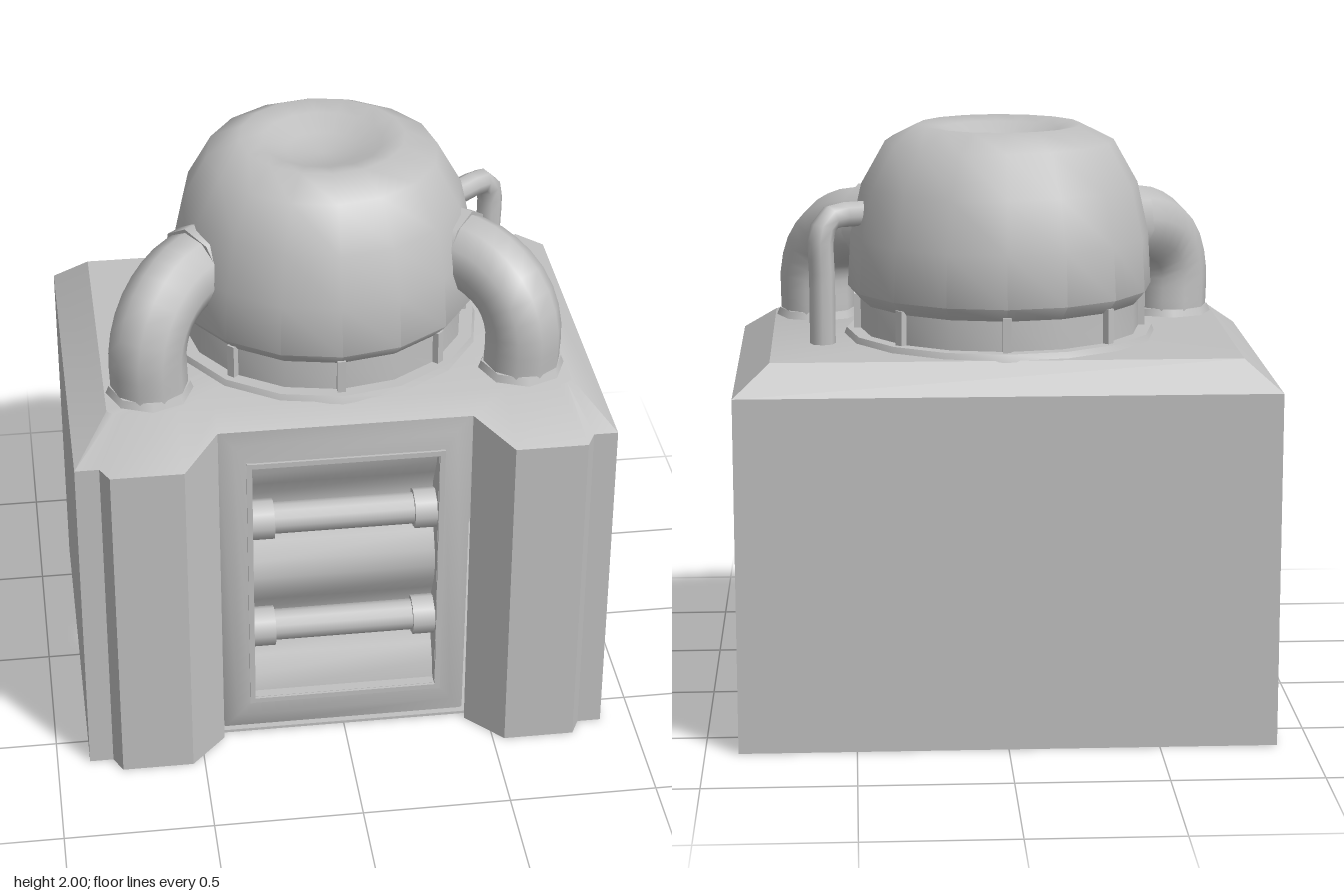
import * as THREE from 'three';
import { toCreasedNormals } from 'three/addons/utils/BufferGeometryUtils.js';

const metal = new THREE.MeshStandardMaterial({ color: 0xc0c0c0, side: THREE.DoubleSide });
metal.name = 'grey metal';

// Skin between rings of [x, y, z] points; skip(k, j) leaves a quad open
function loft(rings, crease, skip = () => false) {
  const n = rings[0].length, index = [];
  for (let k = 0; k < rings.length - 1; k++) {
    for (let j = 0; j < n; j++) {
      if (skip(k, j)) continue;
      const a = k * n + j, b = k * n + (j + 1) % n;
      index.push(a, b, b + n, a, b + n, a + n);
    }
  }
  const g = new THREE.BufferGeometry();
  g.setAttribute('position', new THREE.Float32BufferAttribute(rings.flat(2), 3));
  g.setIndex(index);
  return toCreasedNormals(g, crease);
}

function lathe(profile, sides, crease = 0.8) {
  const pts = profile.map(([r, y]) => new THREE.Vector2(r, y));
  return toCreasedNormals(new THREE.LatheGeometry(pts, sides), crease);
}

export function createModel() {
  const model = new THREE.Group();
  const add = (name, geo, x = 0, y = 0, z = 0, parent = model) => {
    const m = new THREE.Mesh(geo, metal);
    m.name = name;
    m.position.set(x, y, z);
    parent.add(m);
    return m;
  };

  // Housing: footprint with two front wings, sloped shoulders and a flat top
  // Each entry: x, z, wall height, then x, z on the flat top
  const half = [
    [0.42, 0.54, 1.25, 0.42, 0.45],
    [0.54, 0.67, 1.19, 0.54, 0.45],
    [0.78, 0.67, 1.19, 0.72, 0.45],
    [0.81, 0.61, 1.19, 0.75, 0.44],
    [0.89, 0.61, 1.19, 0.77, 0.42],
    [0.89, -0.67, 1.19, 0.77, -0.58],
  ];
  const outline = [...half, ...half.slice().reverse().map(([x, z, y, tx, tz]) => [-x, z, y, -tx, tz])];
  const last = outline.length - 1;
  add('housing', loft([
    outline.map(([x, z]) => [x, 0, z]),
    outline.map(([x, z, y]) => [x, y, z]),
    outline.map((p) => [p[3], 1.29, p[4]]),
    outline.map(() => [0, 1.29, -0.06]),
  ], 0.6, (k, j) => k === 0 && j === last));
  add('floorPlate', new THREE.BoxGeometry(1.68, 0.01, 1.15), 0, 0.01, -0.055);

  // Front panel: soft frame around a recessed window
  const rect = (w, y0, y1, zLow, zHigh = zLow) => [[-w, y0, zLow], [w, y0, zLow], [w, y1, zHigh], [-w, y1, zHigh]];
  add('panelFrame', loft([
    rect(0.42, 0, 1.25, 0.49, 0.53),
    rect(0.37, 0.09, 1.19, 0.535),
    rect(0.33, 0.15, 1.13, 0.545),
    rect(0.31, 0.17, 1.11, 0.545),
    rect(0.31, 0.17, 1.11, 0.41),
  ], 0.9));
  for (const s of [-1, 1]) {
    add('windowTrimSide', new THREE.BoxGeometry(0.018, 0.98, 0.02), s * 0.32, 0.64, 0.544);
    add('windowTrimEnd', new THREE.BoxGeometry(0.65, 0.018, 0.02), 0, 0.64 + s * 0.48, 0.544);
  }

  // Wavy back of the window
  const wave = new THREE.PlaneGeometry(0.62, 0.94, 1, 16);
  const wp = wave.attributes.position;
  for (let i = 0; i < wp.count; i++) {
    wp.setZ(i, 0.045 * Math.cos((wp.getY(i) / 0.94) * 4 * Math.PI));
  }
  wave.computeVertexNormals();
  add('windowBack', wave, 0, 0.64, 0.465);

  // Rollers with thicker ends
  for (const y of [0.42, 0.86]) {
    const roller = new THREE.Group();
    roller.name = 'roller';
    roller.position.set(0, y, 0.475);
    roller.rotation.z = Math.PI / 2;
    model.add(roller);
    add('rollerBar', new THREE.CylinderGeometry(0.053, 0.053, 0.5, 12), 0, 0, 0, roller);
    for (const s of [-1, 1]) {
      add('rollerEnd', new THREE.CylinderGeometry(0.07, 0.07, 0.075, 8), 0, s * 0.273, 0, roller);
    }
  }

  // Dome on a ribbed neck
  const dz = -0.06;
  add('dome', lathe([
    [0.475, 1.41], [0.515, 1.455], [0.505, 1.63], [0.467, 1.8], [0.385, 1.945],
    [0.275, 2], [0.2, 1.985], [0.12, 1.95], [0, 1.935],
  ], 16), 0, 0, dz);
  add('neck', lathe([[0.475, 1.29], [0.475, 1.42]], 16), 0, 0, dz);
  add('neckFlange', lathe([[0.53, 1.285], [0.52, 1.31], [0.47, 1.31]], 16), 0, 0, dz);
  for (let i = 0; i < 8; i++) {
    const a = (i * Math.PI) / 4;
    const rib = add('neckRib', new THREE.BoxGeometry(0.028, 0.12, 0.03),
      0.48 * Math.sin(a), 1.365, dz + 0.48 * Math.cos(a));
    rib.rotation.y = a;
  }

  // Large elbow pipes from the wings into the dome
  const tube = (pts, r, sides) => new THREE.TubeGeometry(
    new THREE.CatmullRomCurve3(pts.map((p) => new THREE.Vector3(...p))), 12, r, sides);
  for (const s of [-1, 1]) {
    add('elbowPipe', tube([
      [s * 0.62, 1.29, 0.305], [s * 0.62, 1.46, 0.305], [s * 0.585, 1.56, 0.265],
      [s * 0.505, 1.625, 0.175], [s * 0.39, 1.645, 0.075],
    ], 0.128, 10));
    add('pipeFlange', new THREE.CylinderGeometry(0.135, 0.147, 0.03, 8), s * 0.62, 1.3, 0.305);
    const collar = add('pipeCollar', new THREE.CylinderGeometry(0.137, 0.137, 0.05, 8), s * 0.435, 1.643, 0.11);
    collar.quaternion.setFromUnitVectors(new THREE.Vector3(0, 1, 0),
      new THREE.Vector3(s * 0.8, -0.08, 0.6).normalize());
  }

  // Thin side pipe
  add('thinPipe', tube([
    [0.6, 1.28, -0.245], [0.6, 1.5, -0.245], [0.6, 1.66, -0.245],
    [0.575, 1.705, -0.225], [0.45, 1.71, -0.13],
  ], 0.043, 8));

  return model;
}
